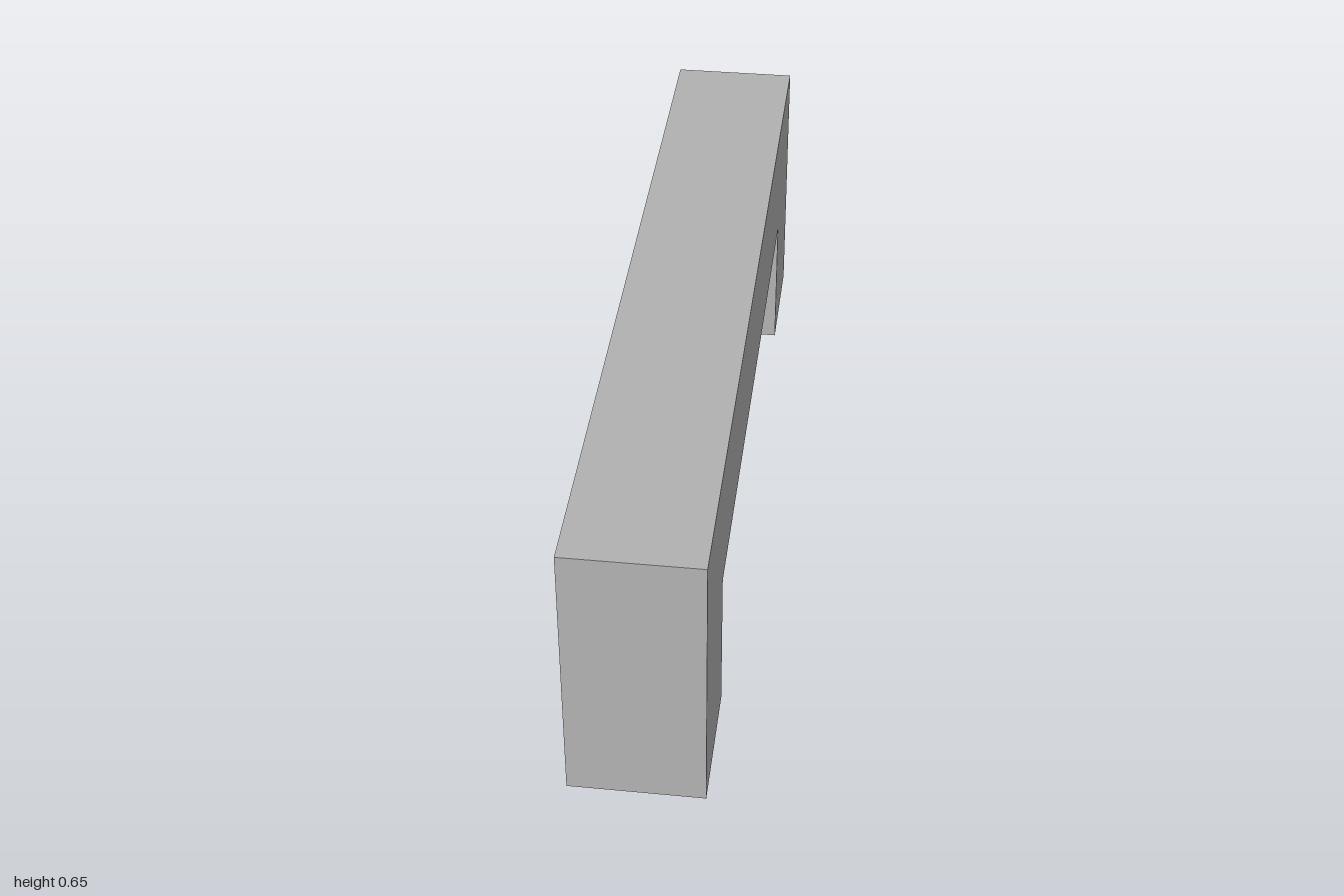
import * as THREE from 'three';

export function createModel() {
  const width = 0.3, height = 0.652, halfLength = 1, innerHalf = 0.7, innerHeight = 0.352;
  const grey = new THREE.MeshStandardMaterial({ color: 0xb2b2b2 });
  grey.name = 'grey';

  // Side outline: a straight bar with a square leg at each end
  const outline = new THREE.Shape([
    [-halfLength, 0], [-innerHalf, 0], [-innerHalf, innerHeight], [innerHalf, innerHeight],
    [innerHalf, 0], [halfLength, 0], [halfLength, height], [-halfLength, height],
  ].map(([x, y]) => new THREE.Vector2(x, y)));

  // Extrude across the width, then turn the length along z
  const geometry = new THREE.ExtrudeGeometry(outline, { depth: width, bevelEnabled: false });
  geometry.translate(0, 0, -width / 2).rotateY(Math.PI / 2);

  const handle = new THREE.Mesh(geometry, grey);
  handle.name = 'barHandle';

  const model = new THREE.Group();
  model.name = 'handle';
  model.add(handle);
  return model;
}
